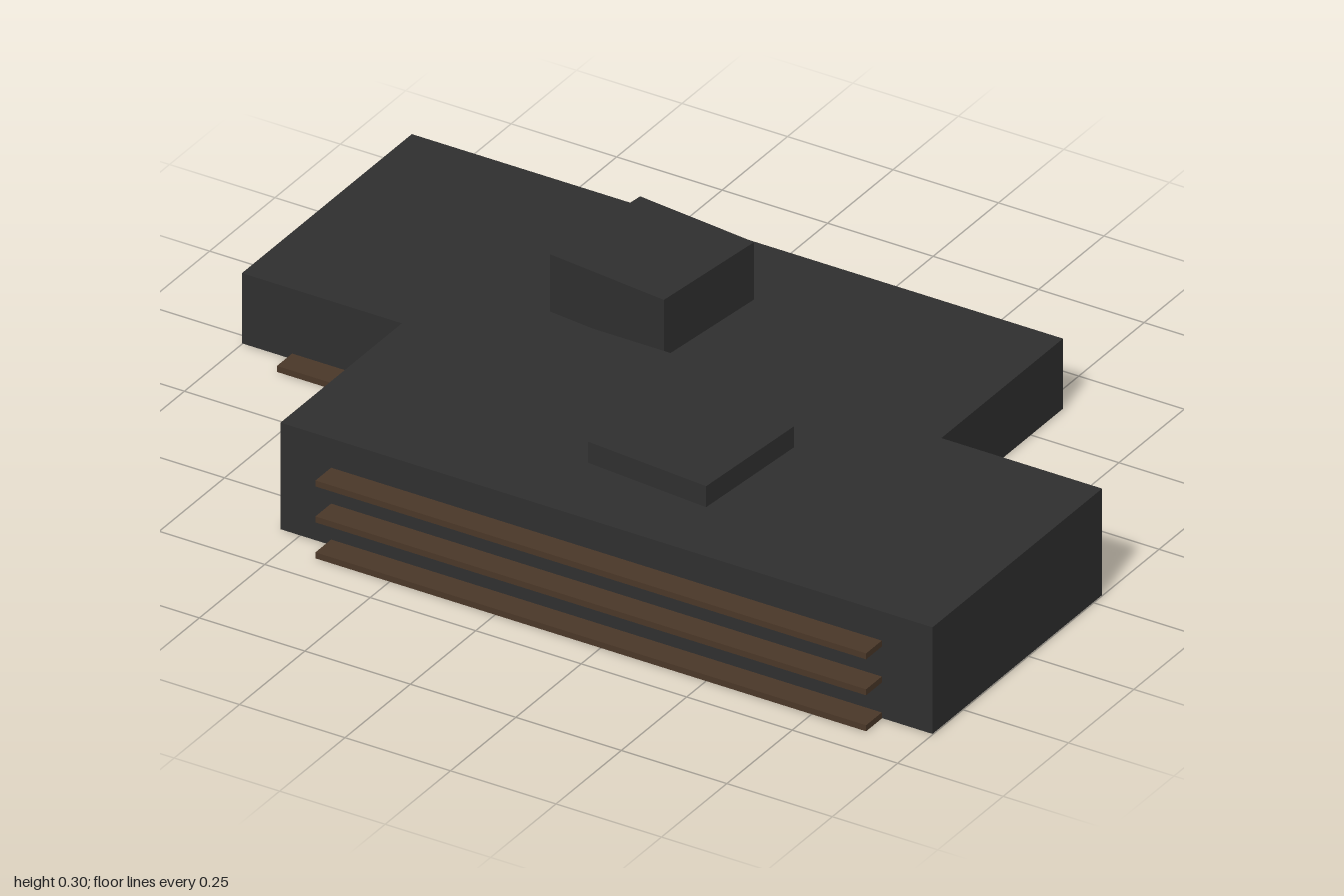
import * as THREE from 'three';

export function createModel() {
  const model = new THREE.Group();
  const charcoal = new THREE.MeshStandardMaterial({ color: 0x2f2f2f });
  charcoal.name = 'charcoal';
  const brown = new THREE.MeshStandardMaterial({ color: 0x4a3728 });
  brown.name = 'brown';

  // Axis-aligned box given by its extents on each axis
  function box(name, material, [x0, x1], [y0, y1], [z0, z1], parent) {
    const mesh = new THREE.Mesh(new THREE.BoxGeometry(x1 - x0, y1 - y0, z1 - z0), material);
    mesh.position.set((x0 + x1) / 2, (y0 + y1) / 2, (z0 + z1) / 2);
    mesh.name = name;
    parent.add(mesh);
    return mesh;
  }

  // A wing: main block, balcony slabs running right through it, and a turned core above the roof
  function wing(name, { x, z, height, slabX, slabZ, floors, core }) {
    const group = new THREE.Group();
    group.name = name;
    box('block', charcoal, x, [0.002, height], z, group);
    for (let i = 0; i < floors; i++) {
      const y = 0.001 + i * 0.084;
      box('balconySlab', brown, slabX, [y, y + 0.014], slabZ, group);
    }
    const h = core.size / 2;
    const tower = box('roofCore', charcoal, [core.x - h, core.x + h], [core.base, 0.3],
      [core.z - h, core.z + h], group);
    tower.rotation.y = core.turn;
    model.add(group);
  }

  wing('frontWing', {
    x: [-0.545, 1], z: [-0.032, 0.617], height: 0.251,
    slabX: [-0.425, 0.88], slabZ: [-0.091, 0.677], floors: 3,
    core: { x: 0.226, z: 0.291, size: 0.296, base: 0.01, turn: -0.085 },
  });
  wing('backWing', {
    x: [-1, 0.543], z: [-0.62, 0.03], height: 0.166,
    slabX: [-0.881, 0.425], slabZ: [-0.679, 0.088], floors: 1,
    core: { x: -0.23, z: -0.296, size: 0.293, base: 0, turn: -0.115 },
  });

  return model;
}
